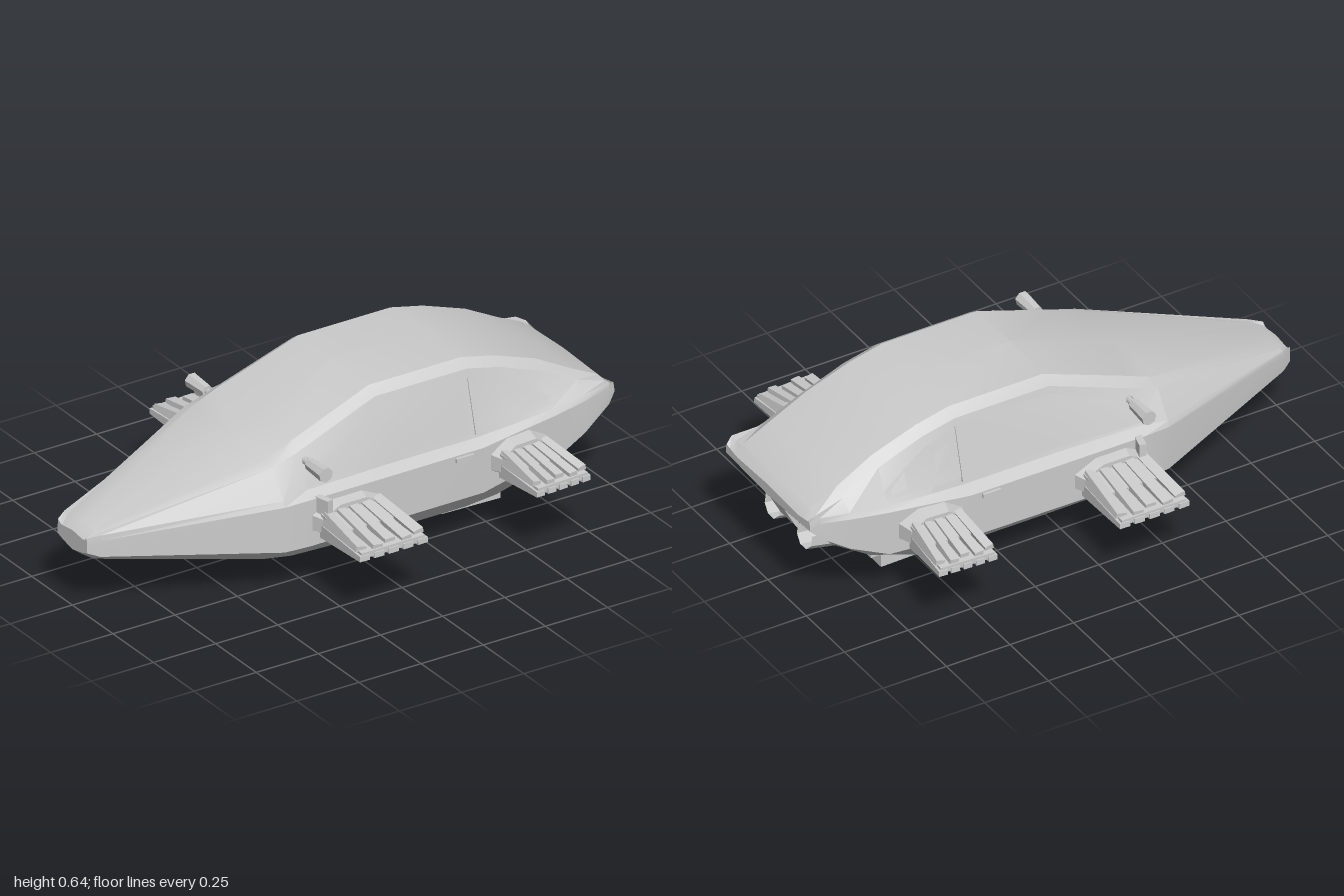
import * as THREE from 'three';
import { toCreasedNormals } from 'three/addons/utils/BufferGeometryUtils.js';

const grey = new THREE.MeshStandardMaterial({ color: 0xcccccc });
const thin = new THREE.MeshStandardMaterial({ color: 0xcccccc, side: THREE.DoubleSide });

// Hull stations, nose to tail: x, keel y, keel half-width, chine y, belt half-width,
// belt y, cabin base half-width, roof edge half-width, roof edge y, crown y
const stations = [
  [-1, .215, .06, .235, .09, .27, .088, .075, .28, .285],
  [-.96, .185, .07, .22, .112, .28, .11, .09, .30, .31],
  [-.37, .072, .2, .17, .345, .34, .335, .27, .46, .485],
  [-.27, .07, .23, .175, .362, .35, .325, .27, .49, .525],
  [.05, .07, .25, .18, .362, .35, .315, .255, .605, .64],
  [.42, .07, .25, .18, .36, .35, .315, .255, .605, .64],
  [.55, .075, .24, .2, .348, .36, .32, .255, .575, .61],
  [.72, .11, .2, .2, .33, .37, .315, .255, .51, .55],
  [.86, .2, .2, .26, .31, .38, .30, .26, .44, .475],
  [.97, .31, .22, .33, .29, .39, .287, .26, .405, .42],
  [1, .35, .2, .36, .275, .375, .27, .25, .385, .39],
];

function surface(positions, index, crease = 0.35) {
  const g = new THREE.BufferGeometry();
  g.setAttribute('position', new THREE.Float32BufferAttribute(positions, 3));
  g.setIndex(index);
  return toCreasedNormals(g, crease);
}

function hullGeometry() {
  const pos = [], idx = [];
  for (const [x, yb, wb, yl, w, yu, wc, wr, yr, yt] of stations) {
    const half = [[0, yb - .003], [wb, yb + .01], [w, yl], [w, yu], [wc, yu + .02], [wr, yr], [wr * .85, yt - .008], [0, yt]];
    const mirrored = half.slice(1, -1).reverse().map(([z, y]) => [-z, y]);
    for (const [z, y] of [...half, ...mirrored]) pos.push(x, y, z);
  }
  const n = 14, last = (stations.length - 1) * n;
  for (let i = 0; i < last; i += n) {
    for (let j = 0; j < n; j++) {
      const a = i + j, b = i + (j + 1) % n;
      idx.push(a, a + n, b + n, a, b + n, b);
    }
  }
  for (let j = 1; j < n - 1; j++) {
    idx.push(0, j, j + 1, last, last + j + 1, last + j);
  }
  return surface(pos, idx);
}

// Window pane laid over the cabin side between stations
function windowGeometry(from, to, low, highs) {
  const pos = [], idx = [];
  for (let i = from; i <= to; i++) {
    const [x, , , , , yu, wc, wr, yr] = stations[i];
    for (const t of [low, highs[i - from]]) {
      pos.push(x, THREE.MathUtils.lerp(yu + .02, yr, t), THREE.MathUtils.lerp(wc, wr, t) + .004);
    }
  }
  for (let i = 0; i < to - from; i++) {
    const a = i * 2;
    idx.push(a, a + 2, a + 3, a, a + 3, a + 1);
  }
  return surface(pos, idx);
}

// Box from z = 0 to z = length with different end sizes
function taper(w0, h0, w1, h1, length) {
  const g = new THREE.BoxGeometry(1, 1, 1);
  const p = g.attributes.position;
  for (let i = 0; i < p.count; i++) {
    const tip = p.getZ(i) > 0;
    p.setXYZ(i, p.getX(i) * (tip ? w1 : w0), p.getY(i) * (tip ? h1 : h0), tip ? length : 0);
  }
  g.computeVertexNormals();
  return g;
}

function add(parent, name, geometry, x = 0, y = 0, z = 0, material = grey) {
  const m = new THREE.Mesh(geometry, material);
  m.name = name;
  m.position.set(x, y, z);
  parent.add(m);
  return m;
}

// Side outline extruded across z
function profile(points, width) {
  const shape = new THREE.Shape(points.map(([x, y]) => new THREE.Vector2(x, y)));
  return new THREE.ExtrudeGeometry(shape, { depth: width, bevelEnabled: false }).translate(0, 0, -width / 2);
}

// Feathered stabiliser: flared socket, web and overlapping fingers
function makeFin(name, width, length) {
  const fin = new THREE.Group();
  fin.name = name;
  const collar = new THREE.CylinderGeometry(.5, .6, .06, 8).rotateY(Math.PI / 8).rotateX(Math.PI / 2);
  add(fin, 'finSocket', toCreasedNormals(collar.scale(width * 1.02, .13, 1), .3), 0, 0, .015);
  add(fin, 'finRoot', taper(width * .92, .085, width * .9, .05, length * .42), 0, -.002, .03);
  add(fin, 'finWeb', taper(width * .88, .045, width * .96, .022, length - .04), 0, -.008, .03);
  const count = 5;
  for (let i = 0; i < count; i++) {
    const u = (i - 2) / 2;
    const finger = add(fin, 'finFinger', taper(width * .13, .05, width * .15, .02, length - .06 + (i % 2) * .015),
      u * width * .39, .024, .03);
    finger.rotation.set(.07, u * .05, u * .2);
    const lower = add(fin, 'lowerFinger', taper(width * .15, .05, width * .15, .02, length - .035), u * width * .4, -.024, .03);
    lower.rotation.set(-.03, u * .04, 0);
  }
  return fin;
}

function makeSide(name) {
  const side = new THREE.Group();
  side.name = name;

  add(side, 'sideWindow', windowGeometry(3, 5, .08, [.6, .9, .9]), 0, 0, 0, thin);
  add(side, 'rearWindow', windowGeometry(5, 7, .12, [.88, .82, .4]), 0, 0, 0, thin);
  const post = add(side, 'doorPost', new THREE.BoxGeometry(.012, .2, .012), .42, .48, .289);
  post.rotation.x = -.26;
  add(side, 'doorHandle', new THREE.BoxGeometry(.07, .016, .02), .34, .335, .361);

  const front = makeFin('frontFin', .265, .3);
  front.position.set(-.13, .262, .355);
  const rear = makeFin('rearFin', .215, .265);
  rear.position.set(.566, .285, .35);
  rear.rotation.y = .05;
  side.add(front, rear);
  const strut = add(side, 'finStrut', new THREE.BoxGeometry(.025, .07, .13), -.245, .32, .345);
  strut.rotation.y = .25;

  // Door mirror on a short stalk
  add(side, 'mirrorStalk', new THREE.CylinderGeometry(.01, .014, .1, 6).rotateX(Math.PI / 2), -.25, .46, .32);
  const mirror = new THREE.CylinderGeometry(.028, .022, .1, 7).rotateX(Math.PI / 2);
  add(side, 'mirror', toCreasedNormals(mirror, .4), -.25, .46, .365);

  // Rear lamp and thruster nozzle
  const lamp = add(side, 'rearLamp', new THREE.CylinderGeometry(.03, .04, .05, 6).rotateZ(-Math.PI / 2), .96, .365, .215);
  lamp.scale.y = .7;
  const nozzle = new THREE.CylinderGeometry(.05, .065, .2, 8, 1, true).rotateY(Math.PI / 8).rotateZ(-Math.PI / 2);
  const thruster = add(side, 'thruster', toCreasedNormals(nozzle, .3), .82, .205, .105, thin);
  thruster.rotation.z = .12;
  add(side, 'thrusterCore', new THREE.CylinderGeometry(.045, .05, .1, 8).rotateZ(-Math.PI / 2), .82, .205, .105);

  // Underside runners
  add(side, 'frontRunner', profile([[-.03, .09], [-.03, .005], [.24, 0], [.31, .03], [.31, .09]], .065), 0, 0, .1);
  add(side, 'rearRunner', profile([[.33, .03], [.4, .005], [.635, 0], [.635, .045], [.56, .09], [.33, .09]], .065), 0, 0, .1);
  return side;
}

export function createModel() {
  const model = new THREE.Group();
  model.name = 'flyingCar';
  add(model, 'hull', hullGeometry());

  const left = makeSide('frontSide');
  const right = makeSide('backSide');
  right.scale.z = -1;
  model.add(left, right);

  // Belly bay between the runners, and the tail keel
  add(model, 'bellyBay', profile([[-.03, .09], [0, .025], [.24, .01], [.32, .05], [.6, .035], [.69, .065], [.69, .13]], .15));
  add(model, 'bellyStep', new THREE.BoxGeometry(.15, .06, .3), .61, .095, 0);
  add(model, 'tailKeel', profile([[.7, .11], [.78, .11], [.86, .15], [.92, .22], [.98, .33], [.96, .36], [.8, .3]], .1));
  return model;
}
